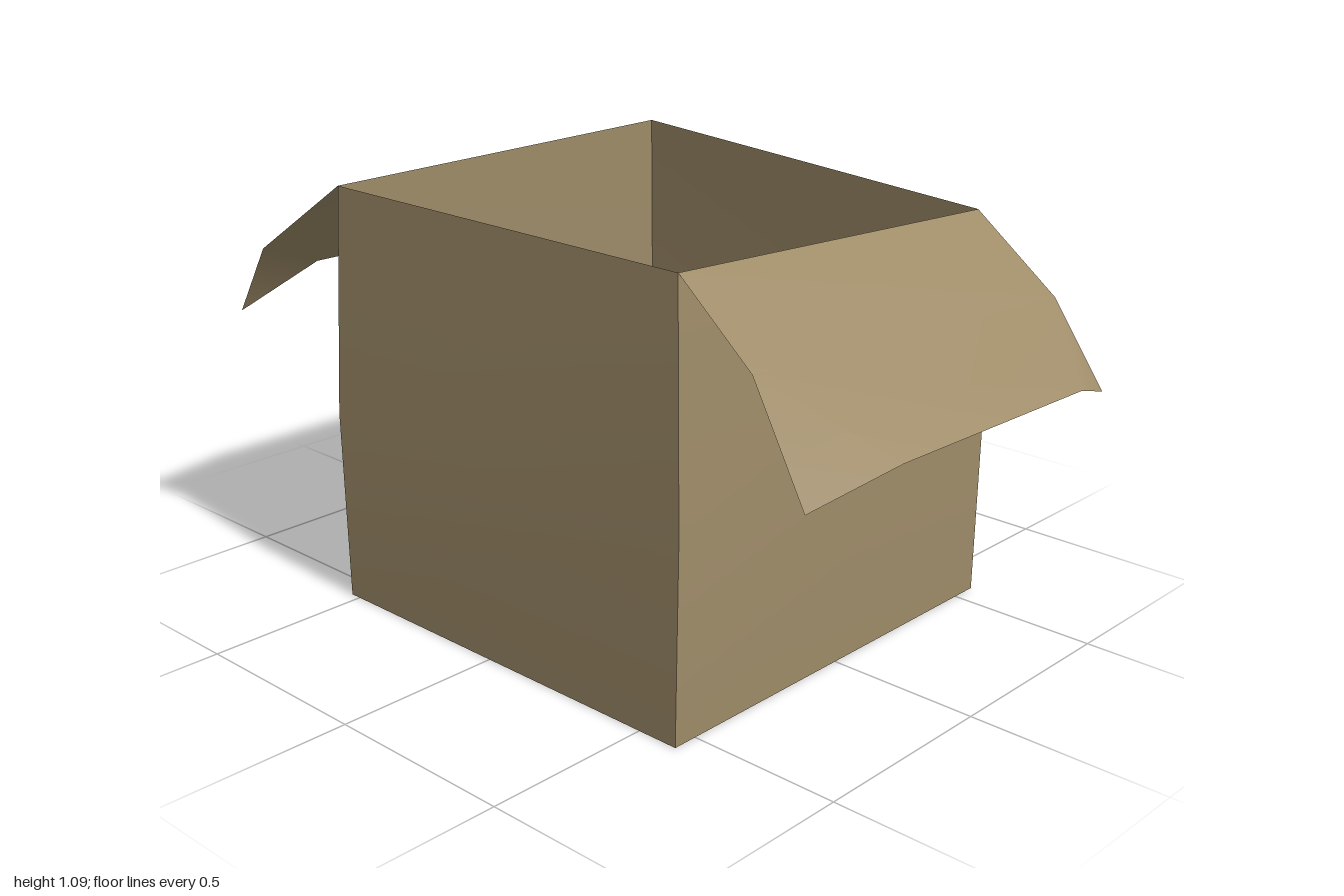
import * as THREE from 'three';

// Smooth-shaded sheet from corner points and triangle indices
function sheet(name, points, index, material) {
  const geo = new THREE.BufferGeometry();
  geo.setAttribute('position', new THREE.Float32BufferAttribute(points.flat(), 3));
  geo.setIndex(index);
  geo.computeVertexNormals();
  const mesh = new THREE.Mesh(geo, material);
  mesh.name = name;
  return mesh;
}

export function createModel() {
  const cardboard = new THREE.MeshStandardMaterial({ color: 0x9f8c69, side: THREE.DoubleSide });
  cardboard.name = 'cardboard';

  const box = new THREE.Group();
  box.name = 'openBox';

  // Rings of corners: front left edge, front right edge, back right, back left (by x)
  const bottom = [[-0.565, 0, 0.61], [0.57, 0, 0.61], [0.57, 0, -0.525], [-0.565, 0, -0.53]];
  const middle = [[-0.573, 0.5, 0.625], [0.562, 0.5, 0.62], [0.565, 0.5, -0.53], [-0.57, 0.5, -0.535]];
  const top = [[-0.545, 1.075, 0.593], [0.527, 1.018, 0.593], [0.545, 1.085, -0.515], [-0.543, 1.077, -0.525]];

  // Four slightly bulging walls
  ['frontWall', 'rightWall', 'backWall', 'leftWall'].forEach((name, i) => {
    const j = (i + 1) % 4;
    const points = [bottom[i], bottom[j], middle[i], middle[j], top[i], top[j]];
    box.add(sheet(name, points, [0, 1, 3, 0, 3, 2, 2, 3, 5, 2, 5, 4], cardboard));
  });

  // Floor
  box.add(sheet('floor', bottom, [0, 2, 1, 0, 3, 2], cardboard));

  // Flaps: hinge, then around the free edge; the two outer corners droop
  const flapIndex = [0, 2, 1, 0, 7, 2, 7, 4, 2, 7, 5, 4, 2, 4, 3, 7, 6, 5];
  const frontFlap = [
    top[0], top[1],
    [0.535, 0.84, 0.817], [0.54, 0.635, 0.96], [0.375, 0.687, 1],
    [-0.305, 0.702, 1], [-0.548, 0.645, 0.94], [-0.548, 0.905, 0.797],
  ];
  const backFlap = [
    top[2], top[3],
    [-0.546, 0.862, -0.85], [-0.55, 0.675, -0.96], [-0.27, 0.747, -1],
    [0.3, 0.74, -1], [0.537, 0.65, -0.943], [0.54, 0.845, -0.85],
  ];
  box.add(sheet('frontFlap', frontFlap, flapIndex, cardboard));
  box.add(sheet('backFlap', backFlap, flapIndex, cardboard));

  return box;
}
